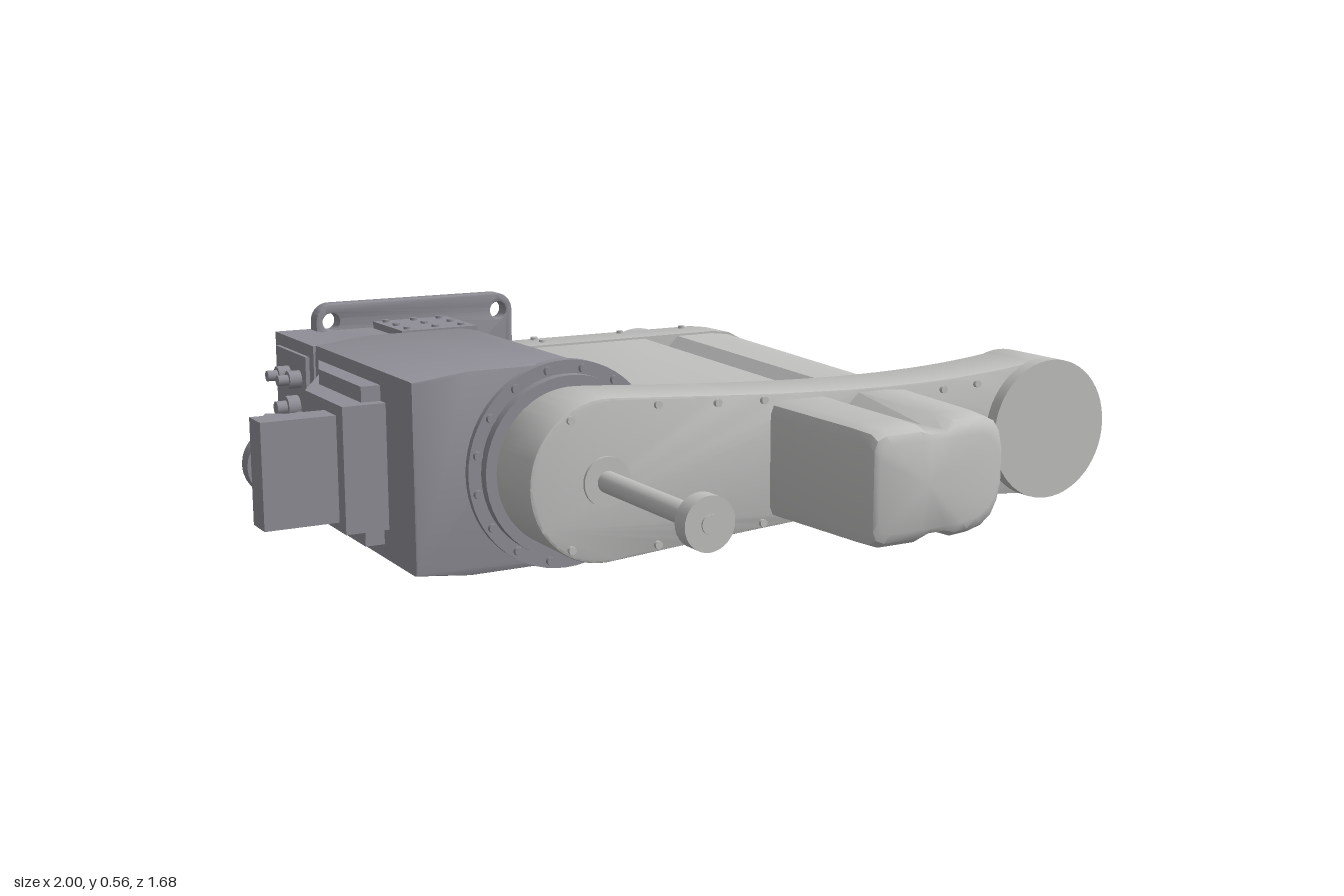
import * as THREE from 'three';
import { toCreasedNormals } from 'three/addons/utils/BufferGeometryUtils.js';

const CY = 0.28; // height of the common mid-plane

export function createModel() {
  const root = new THREE.Group();
  const light = new THREE.MeshStandardMaterial({ color: 0xc0c0bf });
  light.name = 'light grey arm';
  const grey = new THREE.MeshStandardMaterial({ color: 0x8f8e96 });
  grey.name = 'mid grey base';

  const add = (name, geo, mat, x = 0, y = 0, z = 0) => {
    const m = new THREE.Mesh(geo, mat);
    m.name = name;
    m.position.set(x, y, z);
    root.add(m);
    return m;
  };
  // cylinder along z between z0 and z1
  const cylZ = (name, mat, x, y, z0, z1, r, sides = 40, r1 = r) => {
    const m = add(name, new THREE.CylinderGeometry(r1, r, z1 - z0, sides), mat, x, y, (z0 + z1) / 2);
    m.rotation.x = Math.PI / 2;
    return m;
  };
  const cylX = (name, mat, x0, x1, y, z, r, sides = 16) => {
    const m = add(name, new THREE.CylinderGeometry(r, r, x1 - x0, sides), mat, (x0 + x1) / 2, y, z);
    m.rotation.z = -Math.PI / 2;
    return m;
  };
  const box = (name, mat, x0, x1, y0, y1, z0, z1) =>
    add(name, new THREE.BoxGeometry(x1 - x0, y1 - y0, z1 - z0), mat, (x0 + x1) / 2, (y0 + y1) / 2, (z0 + z1) / 2);
  const slab = (name, mat, shape, z0, z1, bevel = 0) => {
    const g = new THREE.ExtrudeGeometry(shape, {
      depth: z1 - z0 - 2 * bevel, curveSegments: 24, bevelEnabled: bevel > 0,
      bevelSize: bevel, bevelOffset: -bevel, bevelThickness: bevel, bevelSegments: 2,
    });
    return add(name, toCreasedNormals(g, 0.6), mat, 0, 0, z0 + bevel);
  };
  const roundRect = (x0, x1, y0, y1, r) => {
    const s = new THREE.Shape();
    s.absarc(x1 - r, y0 + r, r, -Math.PI / 2, 0);
    s.absarc(x1 - r, y1 - r, r, 0, Math.PI / 2);
    s.absarc(x0 + r, y1 - r, r, Math.PI / 2, Math.PI);
    s.absarc(x0 + r, y0 + r, r, Math.PI, Math.PI * 1.5);
    s.closePath();
    return s;
  };
  const poly = pts => new THREE.Shape(pts.map(p => new THREE.Vector2(...p)));

  // ---- base housing: flat on the left of the picture plane, half round on the other side
  const housing = (r, xl) => {
    const s = new THREE.Shape();
    s.moveTo(xl, CY - r + 0.015);
    s.lineTo(-0.6, CY - r);
    s.absarc(-0.375, CY, r, -Math.PI / 2, Math.PI / 2);
    s.lineTo(-0.6, CY + r);
    s.lineTo(xl, CY + r - 0.015);
    s.closePath();
    return s;
  };
  slab('baseHousing', grey, housing(0.227, -0.73), -0.4, 0.2, 0.006);
  slab('baseRearHousing', grey, housing(0.21, -0.73), -0.64, -0.39);
  box('baseRearCover', grey, -0.735, -0.64, 0.07, 0.49, -0.68, -0.4);

  // mounting flange with four corner holes
  const flange = roundRect(-0.645, -0.105, 0, 0.556, 0.045);
  for (const x of [-0.605, -0.145]) for (const y of [0.045, 0.511]) {
    const h = new THREE.Path();
    h.absarc(x, y, 0.022, 0, Math.PI * 2);
    flange.holes.push(h);
  }
  slab('mountingFlange', grey, flange, -0.675, -0.63, 0.004);
  slab('flangePad', grey, poly([[-0.56, 0.02], [-0.19, 0.02], [-0.19, 0.09], [-0.12, 0.09], [-0.12, 0.466],
    [-0.19, 0.466], [-0.19, 0.536], [-0.56, 0.536], [-0.56, 0.466], [-0.635, 0.466], [-0.635, 0.09], [-0.56, 0.09]]), -0.682, -0.674);
  cylZ('flangeCentreBoss', grey, -0.375, CY, -0.69, -0.68, 0.022, 24);

  // access plates with screws on both faces of the housing
  for (const s of [1, -1]) {
    const y = CY + s * 0.217;
    box('accessPlate', grey, -0.5, -0.3, y - 0.01, y + 0.01, -0.615, -0.42);
    for (const x of [-0.475, -0.4, -0.33]) for (const z of [-0.59, -0.52, -0.45])
      add('plateScrew', new THREE.CylinderGeometry(0.009, 0.009, 0.008, 10), grey, x, y + s * 0.012, z);
  }

  // joint ring with bolts
  cylZ('jointRing', grey, -0.375, CY, 0.19, 0.215, 0.235, 56);
  cylZ('jointNeck', grey, -0.375, CY, 0.21, 0.24, 0.205, 48);
  for (let i = 0; i < 16; i++) {
    const a = (i + 0.5) * Math.PI / 8;
    cylZ('ringBolt', grey, -0.375 + 0.218 * Math.cos(a), CY + 0.218 * Math.sin(a), 0.21, 0.225, 0.01, 10);
  }

  // ---- connector side
  const wedge = (name, y0, y1, pts) => {
    const g = new THREE.ExtrudeGeometry(poly(pts.map(([x, z]) => [x, -z])), { depth: y1 - y0, bevelEnabled: false });
    add(name, g, grey, 0, y0, 0).rotation.x = -Math.PI / 2;
  };
  wedge('connectorHousing', 0.1, 0.46, [[-0.7, 0.02], [-0.775, 0.02], [-0.775, -0.25], [-0.73, -0.38], [-0.7, -0.38]]);
  wedge('connectorCover', 0.14, 0.425, [[-0.72, 0.05], [-0.83, 0.05], [-0.83, -0.19], [-0.73, -0.38], [-0.72, -0.38]]);
  box('cableBracket', grey, -1, -0.82, 0.16, 0.4, -0.065, 0.01);
  cylZ('cableGlandNut', grey, -0.92, CY, -0.105, -0.06, 0.066, 6);
  cylZ('cableGland', grey, -0.92, CY, -0.14, -0.1, 0.078, 28);
  const plug = new THREE.Group();
  plug.name = 'angledConnector';
  plug.position.set(-0.775, CY, -0.27);
  plug.rotation.set(0, 0.5, Math.PI / 2);
  [[0.075, 0.05, 0.025], [0.06, 0.05, 0.065], [0.07, 0.04, 0.105]].forEach(([r, h, d], i) => {
    const m = new THREE.Mesh(new THREE.CylinderGeometry(r, r, h, i === 1 ? 6 : 28), grey);
    m.name = 'connectorCollar';
    m.position.y = d;
    plug.add(m);
  });
  plug.rotation.set(0, -0.6, Math.PI / 2);
  root.add(plug);
  box('socketPanel', grey, -0.745, -0.73, 0.1, 0.46, -0.65, -0.43);
  [[0.17, -0.5, 0.03], [0.17, -0.58, 0.025], [0.25, -0.54, 0.022], [0.33, -0.5, 0.028], [0.4, -0.56, 0.022], [0.4, -0.48, 0.022]]
    .forEach(([y, z, r]) => {
      cylX('socket', grey, -0.775, -0.74, y, z, r);
      cylX('socketTip', grey, -0.8, -0.77, y, z, r * 0.6);
    });

  // ---- link arm: two round ends joined by a gentle waist
  const link = new THREE.Shape();
  link.absarc(-0.375, CY, 0.18, Math.PI * 0.47, Math.PI * 1.53);
  link.bezierCurveTo(0.0, 0.125, 0.42, 0.16, 0.77, 0.119);
  link.absarc(0.825, CY, 0.17, -Math.PI * 0.6, Math.PI * 0.6);
  link.bezierCurveTo(0.42, 0.4, 0.0, 0.435, -0.345, 0.459);
  slab('linkArm', light, link, 0.235, 0.405, 0.006);
  cylZ('linkEndCap', light, 0.825, CY, 0.4, 0.437, 0.17, 56);
  cylZ('linkPin', light, 0.92, 0.33, 0.215, 0.24, 0.015, 12);
  cylZ('linkPin', light, 0.67, 0.2, 0.4, 0.415, 0.03, 20);
  for (const [x, d] of [[-0.46, 0.14], [-0.25, 0.155], [-0.1, 0.145], [0.02, 0.14], [0.52, 0.12], [0.62, 0.125]])
    for (const s of [1, -1]) cylZ('linkScrew', light, x, CY + s * d, 0.4, 0.414, 0.009, 10);
  for (const x of [0.6, 0.73, 0.82]) cylZ('rearLinkScrew', light, x, 0.39, 0.226, 0.24, 0.009, 10);

  // tool shaft
  cylZ('shaftSeat', light, -0.375, CY, 0.4, 0.412, 0.055, 32);
  cylZ('toolShaft', light, -0.375, CY, 0.4, 0.8, 0.024, 24);
  cylZ('shaftEnd', light, -0.375, CY, 0.793, 0.832, 0.057, 32);
  cylZ('shaftTip', light, -0.375, CY, 0.83, 0.836, 0.02, 16);

  // ---- main arm body, lofted along z; one side rounded, with a groove above and below
  const ring = ({ x0, x1, h, g = 0 }) => {
    const top = [[x0, h - 0.03], [x0 + 0.008, h - 0.009], [x0 + 0.03, h], [0.18, h], [0.205, h - g], [0.25, h - g], [0.28, h], [x1 - 0.13, h],
      [x1 - 0.08, h * 0.96], [x1 - 0.04, h * 0.83], [x1 - 0.015, h * 0.62], [x1, h * 0.3]];
    return [...top.map(([x, y]) => [x, -y]), ...top.reverse()];
  };
  const loft = (name, sections) => {
    const pos = [], idx = [];
    const rings = sections.map(ring), n = rings[0].length;
    rings.forEach((r, k) => r.forEach(([x, y]) =>
      pos.push(x, CY + y, sections[k].z - (sections[k].sweep || 0) * Math.max(0, x - 0.2) ** 2)));
    for (let k = 0; k < rings.length - 1; k++) for (let i = 0; i < n; i++) {
      const a = k * n + i, b = k * n + (i + 1) % n;
      idx.push(a, b, b + n, a, b + n, a + n);
    }
    for (const k of [0, rings.length - 1]) {
      const c = pos.length / 3, s = sections[k];
      pos.push(0.2, CY, s.z);
      for (let i = 0; i < n; i++) {
        const a = k * n + i, b = k * n + (i + 1) % n;
        idx.push(c, ...(k ? [a, b] : [b, a]));
      }
    }
    const geo = new THREE.BufferGeometry();
    geo.setAttribute('position', new THREE.Float32BufferAttribute(pos, 3));
    geo.setIndex(idx);
    add(name, toCreasedNormals(geo, 0.65), light);
  };
  loft('armBody', [
    { z: -0.43, x0: -0.2, x1: 0.515, h: 0.158, g: 0.03 },
    { z: 0.24, x0: -0.2, x1: 0.495, h: 0.14, g: 0.03 },
  ]);
  loft('armRearCover', [
    { z: -0.57, x0: -0.2, x1: 0.515, h: 0.148 },
    { z: -0.55, x0: -0.207, x1: 0.525, h: 0.16 },
    { z: -0.42, x0: -0.207, x1: 0.52, h: 0.163 },
  ]);
  loft('armFrontHood', [
    { z: 0.4, x0: 0.04, x1: 0.49, h: 0.134, g: 0.026 },
    { z: 0.68, x0: 0.053, x1: 0.473, h: 0.13, g: 0.022, sweep: 0.3 },
    { z: 0.75, x0: 0.056, x1: 0.466, h: 0.127, g: 0.016, sweep: 0.9 },
    { z: 0.768, x0: 0.06, x1: 0.45, h: 0.115, g: 0.008, sweep: 1 },
    { z: 0.775, x0: 0.07, x1: 0.43, h: 0.095, sweep: 1 },
  ]);
  for (const s of [1, -1]) for (const [x, z] of [[-0.09, -0.53], [-0.09, -0.48], [0.16, -0.52], [0.35, -0.52]])
    add('coverScrew', new THREE.CylinderGeometry(0.009, 0.009, 0.014, 10), light, x, CY + s * 0.161, z);
  for (const x of [-0.15, 0.02]) for (const y of [0.17, 0.39]) cylZ('rearScrew', light, x, y, -0.58, -0.56, 0.01, 10);

  // ---- motor on a teardrop mount
  const mount = new THREE.Shape();
  mount.moveTo(0.12, 0.23);
  mount.absarc(0.365, CY, 0.142, -Math.PI * 0.6, Math.PI * 0.6);
  mount.lineTo(0.12, 0.33);
  mount.closePath();
  slab('motorMount', light, mount, -0.605, -0.55, 0.004);
  cylZ('motor', light, 0.365, CY, -0.8, -0.6, 0.125, 48);
  cylZ('motorCap', light, 0.365, CY, -0.825, -0.795, 0.075, 36);
  cylZ('motorHub', light, 0.365, CY, -0.842, -0.82, 0.055, 32);
  cylZ('motorHubTip', light, 0.365, CY, -0.846, -0.84, 0.02, 16);
  for (let i = 0; i < 6; i++) {
    const a = i * Math.PI / 3 + 0.3;
    cylZ('motorScrew', light, 0.365 + 0.1 * Math.cos(a), CY + 0.1 * Math.sin(a), -0.81, -0.795, 0.009, 10);
  }
  return root;
}
